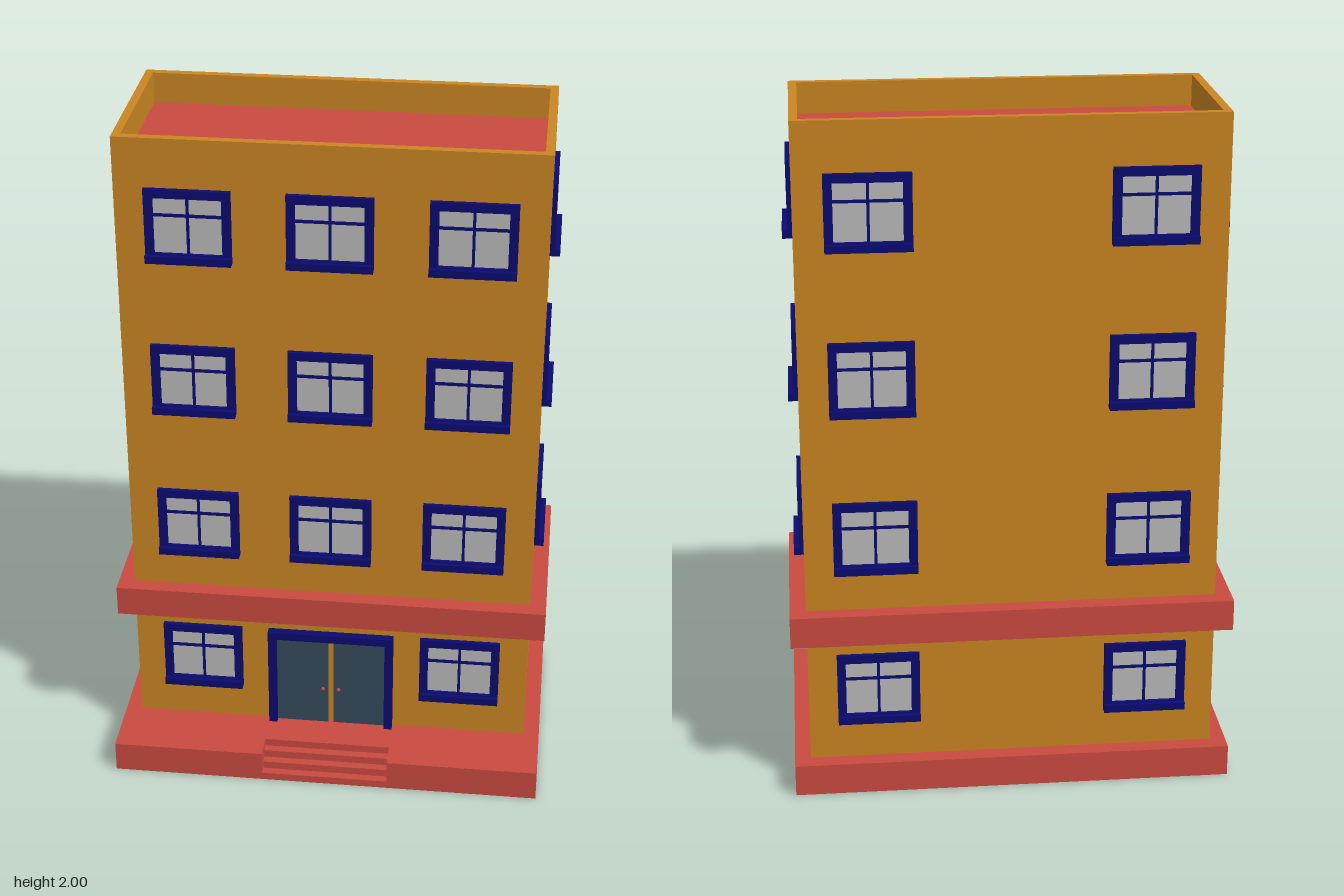
import * as THREE from 'three';

const mat = (name, color) => {
  const m = new THREE.MeshStandardMaterial({ color });
  m.name = name;
  return m;
};

// Rectangle outline, reversible for use as a hole
function rect(path, x0, y0, x1, y1) {
  path.moveTo(x0, y0);
  path.lineTo(x1, y0);
  path.lineTo(x1, y1);
  path.lineTo(x0, y1);
  path.closePath();
  return path;
}

const extrude = (shape, depth) =>
  new THREE.ExtrudeGeometry(shape, { depth, bevelEnabled: false });

export function createModel() {
  const building = new THREE.Group();
  building.name = 'building';

  const wall = mat('ochre wall', 0xc98522);
  const red = mat('red trim', 0xc94a40);
  const navy = mat('navy frame', 0x0a0a70);
  const glass = mat('grey glass', 0xb9b9b9);
  const slate = mat('slate door', 0x364a5a);

  function add(parent, name, geometry, material) {
    const mesh = new THREE.Mesh(geometry, material);
    mesh.name = name;
    parent.add(mesh);
    return mesh;
  }

  // Box given by its minimum and maximum corners
  function box(parent, name, material, [x0, y0, z0], [x1, y1, z1]) {
    const g = new THREE.BoxGeometry(x1 - x0, y1 - y0, z1 - z0);
    g.translate((x0 + x1) / 2, (y0 + y1) / 2, (z0 + z1) / 2);
    return add(parent, name, g, material);
  }

  const BASE = 0.095, W = 0.595, BACK = -0.33, FRONT = 0.19;
  const STEP_X = 0.19, STEP_Z = 0.305, EDGE_X = 0.642, EDGE_Z = 0.38;

  // Plinth with a notch in the front edge for the steps (plan uses y = -z)
  const plan = new THREE.Shape();
  [[-EDGE_X, -EDGE_Z], [-STEP_X, -EDGE_Z], [-STEP_X, -STEP_Z], [STEP_X, -STEP_Z],
    [STEP_X, -EDGE_Z], [EDGE_X, -EDGE_Z], [EDGE_X, EDGE_Z], [-EDGE_X, EDGE_Z]]
    .forEach(([x, y], i) => (i ? plan.lineTo(x, y) : plan.moveTo(x, y)));
  add(building, 'plinth', extrude(plan, BASE).rotateX(-Math.PI / 2), red);

  // Three steps rising into the notch
  for (let i = 0; i < 3; i++) {
    const z = STEP_Z + i * 0.025;
    box(building, 'step', red, [-STEP_X, 0, z], [STEP_X, BASE * (3 - i) / 4, z + 0.025]);
  }

  // Hollow walls whose top forms the parapet, with the roof set inside
  const shell = rect(new THREE.Shape(), -W, -FRONT, W, -BACK);
  shell.holes.push(rect(new THREE.Path(), -W + 0.024, -FRONT + 0.024, W - 0.024, -BACK - 0.024));
  const walls = add(building, 'walls', extrude(shell, 2 - BASE).rotateX(-Math.PI / 2), wall);
  walls.position.y = BASE;
  box(building, 'roof', red, [-W + 0.02, 1.87, BACK + 0.02], [W - 0.02, 1.91, FRONT - 0.02]);

  // Ledge above the ground floor
  box(building, 'ledge', red, [-EDGE_X, 0.48, BACK - 0.05], [EDGE_X, 0.573, 0.238]);

  // Window facing +z, with its bottom centre on the wall at the origin
  const HW = 0.12, H = 0.215, T = 0.025;
  const outline = rect(new THREE.Shape(), -HW, 0, HW, H);
  outline.holes.push(rect(new THREE.Path(), -HW + T, T, HW - T, H - T));
  const frameGeometry = extrude(outline, 0.014);

  function addWindow(x, y, z, turn) {
    const w = new THREE.Group();
    w.name = 'window';
    add(w, 'windowFrame', frameGeometry, navy);
    box(w, 'windowSill', navy, [-HW, 0, 0.01], [HW, 0.022, 0.029]);
    box(w, 'glass', glass, [-HW + T, T, -0.002], [HW - T, H - T, 0.003]);
    box(w, 'mullion', navy, [-0.004, T, 0], [0.004, H - T, 0.008]);
    box(w, 'transom', navy, [-HW + T, 0.134, 0], [HW - T, 0.142, 0.008]);
    w.position.set(x, y, z);
    w.rotation.y = turn;
    building.add(w);
  }

  [0.214, 0.69, 1.166, 1.642].forEach((y, floor) => {
    for (const s of [-1, 1]) {
      addWindow(s * 0.391, y, FRONT, 0);
      addWindow(s * 0.391, y, BACK, Math.PI);
      if (floor > 0) addWindow(s * W, y, -0.075, s * Math.PI / 2);
    }
    if (floor > 0) addWindow(0, y, FRONT, 0);
  });

  // Entrance: open-bottomed frame, two door leaves and round handles
  const entrance = new THREE.Group();
  entrance.name = 'entrance';
  entrance.position.set(0, BASE, FRONT);
  building.add(entrance);
  const DW = 0.19, DH = 0.334;
  for (const s of [-1, 1]) {
    const x = s * (DW - T / 2);
    box(entrance, 'doorJamb', navy, [x - T / 2, 0, 0], [x + T / 2, DH, 0.025]);
    const leaf = box(entrance, 'doorLeaf', slate, [-0.0785, 0, -0.002], [0.0785, DH - T, 0.007]);
    leaf.position.x = s * 0.0865;
    const handle = add(entrance, 'doorHandle', new THREE.SphereGeometry(0.006, 12, 8), red);
    handle.position.set(s * 0.024, 0.127, 0.011);
  }
  box(entrance, 'doorLintel', navy, [-DW + T, DH - T, 0], [DW - T, DH, 0.025]);

  return building;
}
